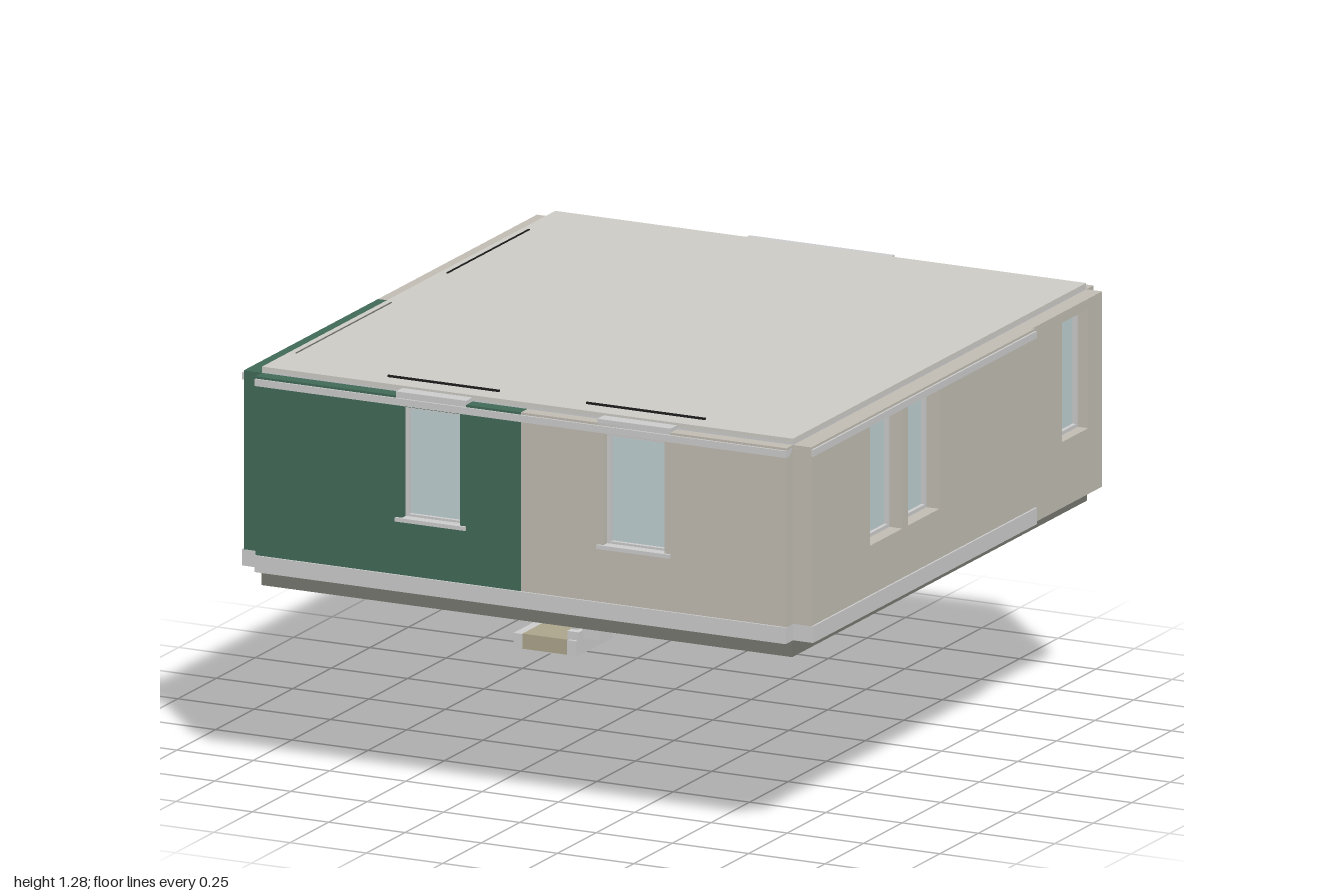
import * as THREE from 'three';

const mat = (color) => new THREE.MeshStandardMaterial({ color });
const GREY = mat(0xcccccc), ROOF = mat(0xcdcbc4), BEIGE = mat(0xc0bcb2), GREEN = mat(0x416a58);
const GLASS = mat(0xbfcfd1), BASE = mat(0x777770), TAN = mat(0xaca48c), BLACK = mat(0x1c1c1c);

// Box given by its minimum and maximum on each axis
function block(parent, name, x0, x1, y0, y1, z0, z1, material) {
  const m = new THREE.Mesh(new THREE.BoxGeometry(x1 - x0, y1 - y0, z1 - z0), material);
  m.position.set((x0 + x1) / 2, (y0 + y1) / 2, (z0 + z1) / 2);
  m.name = name;
  parent.add(m);
  return m;
}

// Counter-clockwise rectangle path
function rect(PathType, u0, u1, y0, y1) {
  const p = new PathType();
  p.moveTo(u0, y0);
  p.lineTo(u1, y0);
  p.lineTo(u1, y1);
  p.lineTo(u0, y1);
  p.closePath();
  return p;
}

// Upright slab with rectangular openings, each [u0, u1, y0, y1]
function pierced(parent, name, u0, u1, y0, y1, holes, depth, material) {
  const s = rect(THREE.Shape, u0, u1, y0, y1);
  holes.forEach((h) => s.holes.push(rect(THREE.Path, ...h)));
  const m = new THREE.Mesh(new THREE.ExtrudeGeometry(s, { depth, bevelEnabled: false }), material);
  m.name = name;
  parent.add(m);
}

// One run of outer wall with its windows; trimmed runs carry a plinth band and cornice
function wallRun(parent, { u0, u1, depth, material, windows = [], sillY = 0.87, trim = true, sills = true }) {
  const top = 1.212;
  const holes = windows.map(([a, b]) => [a, b, sillY, top]);
  pierced(parent, 'wallPanel', u0, u1, trim ? 0.7 : 0.65, 1.243, holes, depth, material);
  if (trim) {
    block(parent, 'plinthBand', u0, u1, 0.65, 0.7, 0, depth + 0.006, GREY);
    block(parent, 'cornice', u0, u1, 1.215, 1.236, 0, depth + 0.006, GREY);
  }
  for (const [a, b] of windows) {
    const w = 0.011;
    pierced(parent, 'windowFrame', a, b, sillY, top,
      [[a + w, b - w, sillY + w, top - w]], 0.018, GREY);
    block(parent, 'windowGlass', a + w, b - w, sillY + w, top - w, 0, 0.006, GLASS);
    if (sills) {
      block(parent, 'windowSill', a - 0.02, b + 0.02, sillY - 0.008, sillY + 0.004, 0, depth + 0.008, GREY);
      block(parent, 'windowLintel', a - 0.02, b + 0.02, 1.236, 1.255, 0, depth, GREY);
    }
  }
}

// Group for one side: local x runs along the wall, local z points outward
function side(parent, name, turn, distance) {
  const g = new THREE.Group();
  g.name = name;
  g.rotation.y = turn;
  g.position.set(Math.sin(turn) * distance, 0, Math.cos(turn) * distance);
  parent.add(g);
  return g;
}

export function createModel() {
  const model = new THREE.Group();
  model.name = 'houseStorey';

  // Storey core, roof and floor slab
  block(model, 'floorSlab', -0.87, 0.87, 0.6, 0.65, -0.955, 0.955, BASE);
  block(model, 'core', -0.87, 0.87, 0.65, 1.25, -0.95, 0.95, GREY);
  block(model, 'roof', -0.87, 0.87, 1.25, 1.262, -0.95, 0.95, ROOF);

  // Front
  const front = side(model, 'frontWall', 0, 0.95);
  wallRun(front, { u0: -0.87, u1: 0, depth: 0.042, material: GREEN, windows: [[-0.39, -0.2]] });
  wallRun(front, { u0: 0, u1: 0.87, depth: 0.042, material: BEIGE, windows: [[0.27, 0.47]] });

  // Right of the picture plane (+x)
  const plusX = side(model, 'leftWall', Math.PI / 2, 0.87);
  wallRun(plusX, {
    u0: -0.95, u1: 0.5, depth: 0.06, material: BEIGE, sillY: 0.85, sills: false,
    windows: [[-0.57, -0.36], [-0.325, -0.12]],
  });
  wallRun(plusX, {
    u0: 0.5, u1: 0.95, depth: 0.052, material: BEIGE, sillY: 0.85, sills: false, trim: false,
    windows: [[0.69, 0.86]],
  });

  // Opposite side (-x), half green
  const minusX = side(model, 'rightWall', -Math.PI / 2, 0.87);
  wallRun(minusX, {
    u0: -0.95, u1: 0.08, depth: 0.06, material: BEIGE, sillY: 0.85, sills: false,
    windows: [[-0.68, -0.48], [-0.44, -0.24]],
  });
  wallRun(minusX, {
    u0: 0.08, u1: 0.95, depth: 0.06, material: GREEN, sillY: 0.85, sills: false,
    windows: [[0.25, 0.45], [0.49, 0.69]],
  });

  // Back
  const back = side(model, 'backWall', Math.PI, 0.95);
  wallRun(back, { u0: -0.87, u1: -0.3, depth: 0.046, material: BEIGE, trim: false });
  wallRun(back, {
    u0: -0.3, u1: 0.87, depth: 0.042, material: BEIGE,
    windows: [[-0.2, -0.005], [0.035, 0.235]],
  });

  // Thin rails showing above the roof by the windows
  block(model, 'rail', -0.475, -0.11, 1.272, 1.278, 0.912, 0.918, BLACK);
  block(model, 'rail', 0.175, 0.565, 1.272, 1.278, 0.912, 0.918, BLACK);
  block(model, 'rail', -0.847, -0.842, 1.26, 1.265, -0.73, -0.2, BLACK);
  block(model, 'rail', -0.847, -0.844, 1.26, 1.265, 0.16, 0.78, BASE);

  // Staircase: landing, steps with inlaid treads
  const stairs = new THREE.Group();
  stairs.name = 'staircase';
  model.add(stairs);
  block(stairs, 'landing', -0.87, -0.665, 0, 0.048, -0.915, -0.68, GREY);
  block(stairs, 'landingInlay', -0.84, -0.695, 0.004, 0.05, -0.885, -0.678, TAN);
  for (let k = 1; k <= 11; k++) {
    const x = -0.665 + 0.0575 * (k - 1), y = 0.05 * k;
    block(stairs, 'step', x, x + 0.061, y, y + 0.046, -0.912, -0.712, GREY);
    block(stairs, 'tread', x - 0.004, x + 0.061, y + 0.046, y + 0.05, -0.912, -0.71, TAN);
  }

  // Newel post: stepped square profile turned with four sides
  const profile = [[0, 0.05], [0.026, 0.05], [0.026, 0.075], [0.015, 0.08], [0.015, 0.225], [0.028, 0.23],
    [0.028, 0.242], [0.014, 0.247], [0.014, 0.295], [0.034, 0.315], [0.034, 0.32], [0, 0.32]];
  const newelGeo = new THREE.LatheGeometry(profile.map(([r, y]) => new THREE.Vector2(r, y)), 4, Math.PI / 4);
  const newelMat = mat(0xcccccc);
  newelMat.flatShading = true;
  const newel = new THREE.Mesh(newelGeo, newelMat);
  newel.name = 'newelPost';
  newel.position.set(-0.677, 0, -0.702);
  stairs.add(newel);

  // Balusters, rising with the flight
  for (let i = 0; i < 10; i++) {
    const x = -0.65 + 0.0288 * i;
    const foot = 0.1 + 0.05 * Math.floor((x + 0.665) / 0.0575);
    block(stairs, 'baluster', x - 0.003, x + 0.003, foot, 0.295 + 0.025 * i, -0.718, -0.712, GREY);
  }

  // Sloping soffit board above the flight
  const a = new THREE.Vector2(-0.435, 0.385), b = new THREE.Vector2(-0.232, 0.602);
  const len = a.distanceTo(b);
  const board = block(stairs, 'soffitBoard', -len / 2, len / 2, -0.005, 0.005, -0.955, -0.72, GREY);
  board.position.x = (a.x + b.x) / 2;
  board.position.y = (a.y + b.y) / 2;
  board.rotation.z = Math.atan2(b.y - a.y, b.x - a.x);

  return model;
}
